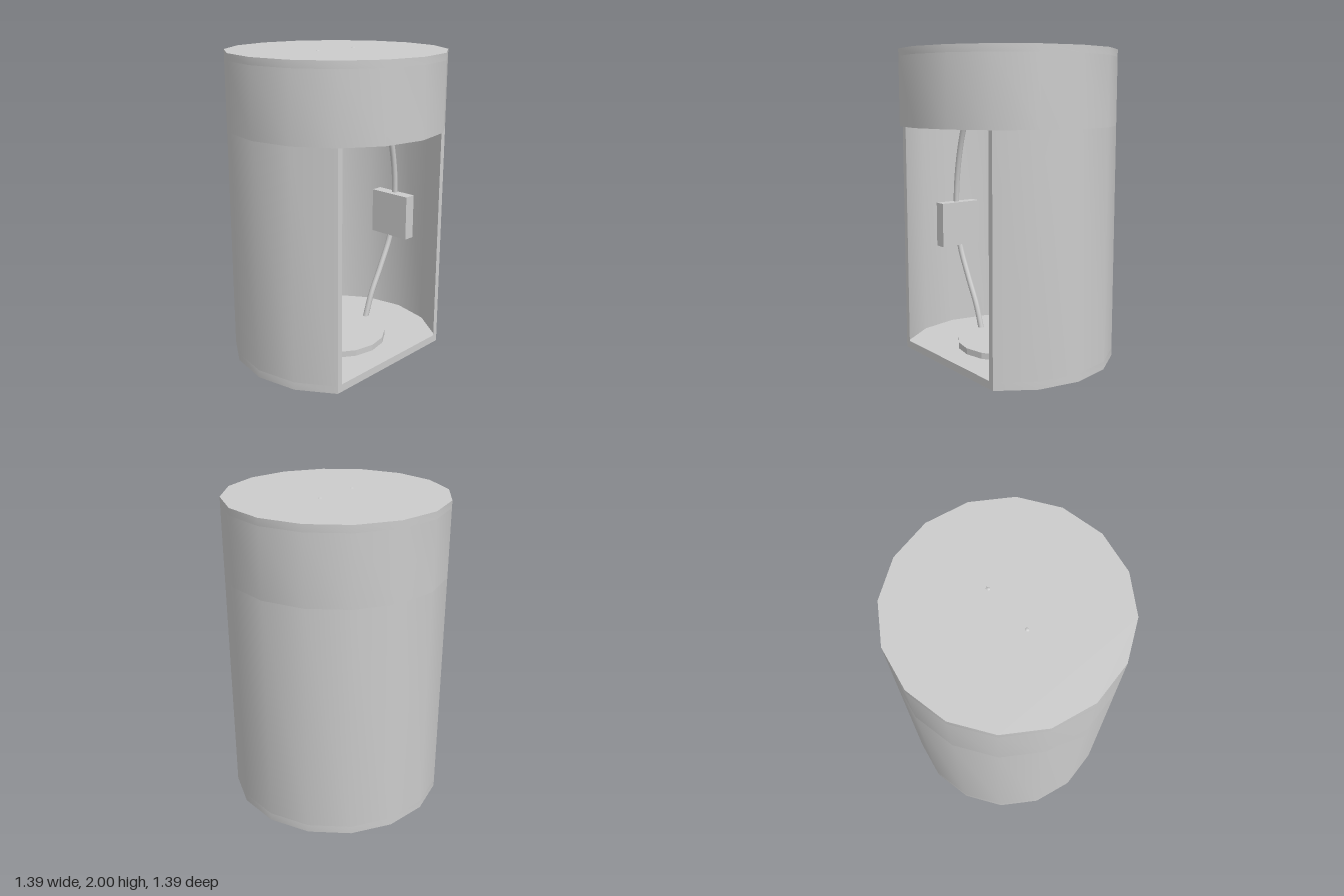
import * as THREE from 'three';
import { toCreasedNormals } from 'three/addons/utils/BufferGeometryUtils.js';

const SIDES = 16, OUTER = 0.695, INNER = 0.675;
const FLOOR = 0.05, OPENING_TOP = 1.52, CEILING = 1.95, TOP = 1.995;
const CUT = OUTER * Math.SQRT1_2; // plane of the doorway

export function createModel() {
  const model = new THREE.Group();
  const material = new THREE.MeshStandardMaterial({ color: 0xcccccc });

  const add = (name, geometry, x = 0, y = 0, z = 0) => {
    const mesh = new THREE.Mesh(geometry, material);
    mesh.name = name;
    mesh.position.set(x, y, z);
    model.add(mesh);
    return mesh;
  };

  // Corners from..to of the sixteen-sided plan
  const arc = (radius, from, to) => {
    const points = [];
    for (let i = from; i <= to; i++) {
      const a = (i / SIDES) * Math.PI * 2;
      points.push(new THREE.Vector2(radius * Math.cos(a), radius * Math.sin(a)));
    }
    return points;
  };

  // Upright slab of a plan between two heights
  const slab = (shape, y0, y1) => {
    const g = new THREE.ExtrudeGeometry(shape, { depth: y1 - y0, bevelEnabled: false });
    g.rotateX(-Math.PI / 2).translate(0, y0, 0);
    return toCreasedNormals(g, 0.6);
  };

  // Floor, with a straight edge at the doorway
  add('floor', slab(new THREE.Shape(arc(OUTER, 2, 14)), 0, FLOOR));

  // Wall, open on the right side
  const inner = arc(INNER, 2, 14);
  const edge = inner[0].y - (CUT - inner[0].x) * 1.5;
  const wallPlan = [
    ...arc(OUTER, 2, 14),
    new THREE.Vector2(CUT, -edge),
    ...inner.reverse(),
    new THREE.Vector2(CUT, edge),
  ];
  add('wall', slab(new THREE.Shape(wallPlan), FLOOR, OPENING_TOP));

  // Full ring above the doorway and the lid that closes it
  const ring = new THREE.Shape(arc(OUTER, 0, SIDES - 1));
  ring.holes.push(new THREE.Path(arc(INNER, 0, SIDES - 1).reverse()));
  add('upperRing', slab(ring, OPENING_TOP, CEILING));
  add('lid', slab(new THREE.Shape(arc(OUTER, 0, SIDES - 1)), CEILING, TOP));

  // Round plate on the floor
  const plate = new THREE.CylinderGeometry(0.335, 0.335, 0.04, SIDES).toNonIndexed();
  plate.computeVertexNormals();
  add('floorPlate', plate, 0, FLOOR + 0.02, 0);

  // Curved rods from plate to lid, each carrying a pad
  for (const side of [1, -1]) {
    const path = new THREE.CatmullRomCurve3(
      [[0.3, 0.07], [0.36, 0.24], [0.46, 0.43], [0.56, 0.65], [0.6, 0.95],
        [0.56, 1.28], [0.47, 1.56], [0.34, 1.79], [0.155, 1.985]]
        .map(([z, y]) => new THREE.Vector3(0, y, z * side)));
    const prefix = side > 0 ? 'front' : 'back';
    add(prefix + 'Rod', new THREE.TubeGeometry(path, 40, 0.02, 8));
    add(prefix + 'RodTip', new THREE.SphereGeometry(0.018, 8, 6), 0, 1.982, 0.157 * side);
    add(prefix + 'Pad', new THREE.BoxGeometry(0.31, 0.31, 0.08), 0, 0.8, 0.58 * side);
  }
  return model;
}
